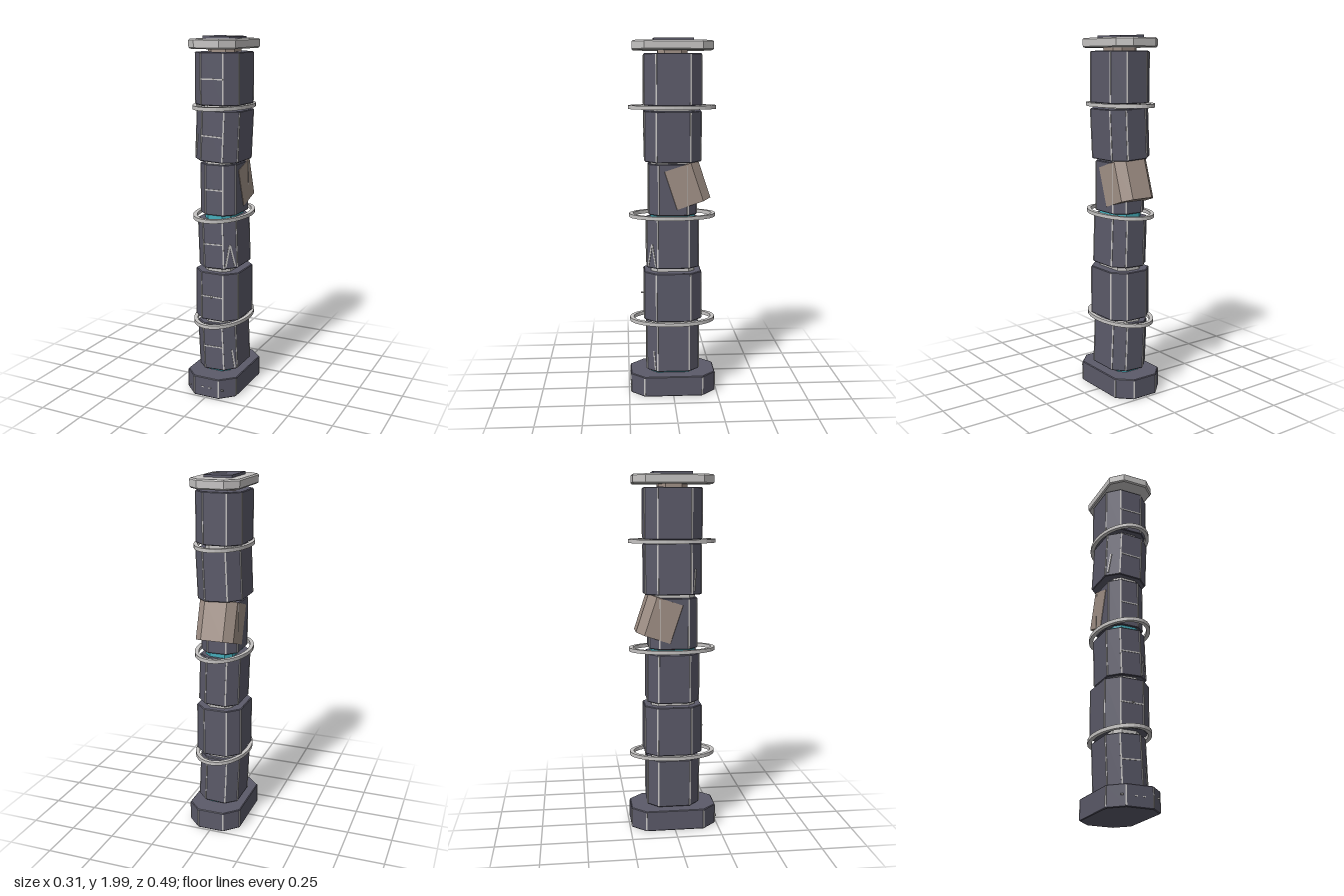
import * as THREE from 'three';

const mat = (name, color) => Object.assign(new THREE.MeshStandardMaterial({ color, flatShading: true }), { name });

export function createModel() {
  const dark = mat('slateStone', 0x5b5a69);
  const pale = mat('paleTrim', 0xc6c4c3);
  const tan = mat('brownPatch', 0xa09086);
  const teal = mat('tealGlow', 0x46aebc);
  const model = new THREE.Group();
  model.name = 'segmentedPillar';

  const add = (parent, name, geometry, material, x = 0, y = 0, z = 0) => {
    const m = new THREE.Mesh(geometry, material);
    m.name = name;
    m.position.set(x, y, z);
    parent.add(m);
    return m;
  };
  const box = (parent, name, w, h, d, material, x, y, z) =>
    add(parent, name, new THREE.BoxGeometry(w, h, d), material, x, y, z);

  // Corners of a rectangle with cut corners, half sizes a (x) and b (z)
  const corners = (a, b, c) => [
    [a, -b + c], [a, b - c], [a - c, b], [-a + c, b],
    [-a, b - c], [-a, -b + c], [-a + c, -b], [a - c, -b],
  ];
  // Upright eight-sided prism centred on its own origin, with a slight edge bevel
  const prism = (a, b, c, h, bevel = 0.004) => {
    const shape = new THREE.Shape(corners(a - bevel, b - bevel, c - bevel * 0.58).map(p => new THREE.Vector2(...p)));
    const g = new THREE.ExtrudeGeometry(shape, {
      depth: h - 2 * bevel, bevelEnabled: bevel > 0, bevelThickness: bevel, bevelSize: bevel, bevelSegments: 1,
    });
    g.translate(0, 0, bevel - h / 2);
    return g.rotateX(-Math.PI / 2);
  };
  // Thin pale strips on all eight upright edges
  const edgeTrim = (parent, a, b, c, h) => {
    corners(a, b, c).forEach(([x, z]) => {
      const s = box(parent, 'edgeTrim', 0.008, h - 0.012, 0.006, pale, x * 0.99, 0, z * 0.993);
      const onFront = Math.abs(z) > b - 1e-4;
      s.rotation.y = Math.sign(x) * Math.sign(z) * (onFront ? Math.PI / 8 : Math.PI * 3 / 8);
    });
  };

  // Base
  const base = new THREE.Group();
  base.name = 'base';
  base.position.y = 0.063;
  model.add(base);
  add(base, 'baseBlock', prism(0.152, 0.24, 0.076, 0.116), dark);
  edgeTrim(base, 0.152, 0.24, 0.076, 0.112);
  for (const x of [-0.1, 0.1]) box(base, 'basePeg', 0.012, 0.008, 0.006, pale, x, 0, 0.24);
  for (const x of [-0.022, 0.022]) box(base, 'baseMark', 0.016, 0.006, 0.004, pale, x, 0, 0.24);

  // Six stacked column segments: bottom, top, half x, half z, tilt
  const specs = [
    [0.135, 0.412, 0.117, 0.147, 0.045],
    [0.437, 0.715, 0.131, 0.16, 0],
    [0.737, 1.014, 0.117, 0.145, 0.035],
    [1.037, 1.32, 0.106, 0.133, 0],
    [1.335, 1.612, 0.127, 0.155, -0.045],
    [1.637, 1.914, 0.13, 0.157, 0],
  ];
  const segments = specs.map(([y0, y1, a, b, tilt], i) => {
    const g = new THREE.Group(), h = y1 - y0, c = 0.064 * a / 0.13;
    g.name = 'segment' + (i + 1);
    g.position.y = (y0 + y1) / 2;
    g.rotation.z = tilt;
    model.add(g);
    add(g, 'segmentBlock', prism(a, b, c, h), dark);
    edgeTrim(g, a, b, c, h);
    box(g, 'frontSeam', 2 * (a - c), 0.007, 0.006, pale, 0, 0, b);
    return g;
  });
  box(segments[1], 'seamPeg', 0.01, 0.006, 0.02, pale, 0, 0, 0.168);

  // Cracks on the front corner faces
  const crack = (seg, a, b, side, lines) => {
    const g = new THREE.Group();
    g.name = 'crack';
    g.position.set(side * (a - 0.029), 0, b - 0.029);
    g.rotation.y = side * Math.PI / 4;
    seg.add(g);
    for (const [x, y, len, turn] of lines)
      box(g, 'crackLine', 0.009, len, 0.006, pale, x, y, 0).rotation.z = turn;
  };
  crack(segments[2], 0.117, 0.145, 1, [[-0.015, -0.065, 0.125, -0.22], [0.014, -0.065, 0.125, 0.22]]);
  crack(segments[0], 0.117, 0.147, 1, [[0.02, -0.075, 0.11, 0.12]]);
  crack(segments[4], 0.127, 0.155, -1, [[-0.02, -0.06, 0.12, -0.12]]);

  // Necks joining the segments
  const necks = [[0.128, teal], [0.425, pale], [0.726, pale], [1.026, teal], [1.328, pale], [1.625, pale], [1.922, tan]];
  necks.forEach(([y, m], i) => {
    const top = i === 6;
    add(model, 'neck', prism(0.078, top ? 0.08 : 0.122, 0.035, 0.04, 0), m, 0, y, 0);
  });

  // Oval hoops
  const oval = new THREE.Shape().absellipse(0, 0, 0.153, 0.242, 0, Math.PI * 2);
  oval.holes.push(new THREE.Path().absellipse(0, 0, 0.131, 0.22, 0, Math.PI * 2, true));
  for (const y of [0.425, 1.028, 1.627]) {
    const g = new THREE.ExtrudeGeometry(oval, { depth: 0.02, bevelEnabled: false, curveSegments: 16 });
    g.translate(0, 0, -0.01).rotateX(-Math.PI / 2);
    add(model, 'hoop', g, pale, 0, y, 0);
  }

  // Slipped brown block at the back of the fourth segment
  const patch = add(model, 'slippedBlock', prism(0.108, 0.12, 0.045, 0.222, 0), tan, 0, 1.2, -0.059);
  patch.rotation.x = 0.32;

  // Cap with a slightly tilted plate and slot
  add(model, 'cap', prism(0.137, 0.22, 0.064, 0.052, 0.007), pale, 0, 1.957, 0);
  const lid = new THREE.Group();
  lid.name = 'lid';
  lid.position.set(-0.001, 1.986, -0.004);
  lid.rotation.z = -0.02;
  model.add(lid);
  box(lid, 'lidPlate', 0.155, 0.02, 0.214, dark, 0, 0, 0);
  box(lid, 'lidSlot', 0.075, 0.006, 0.016, pale, 0.027, 0.009, -0.001);

  return model;
}
